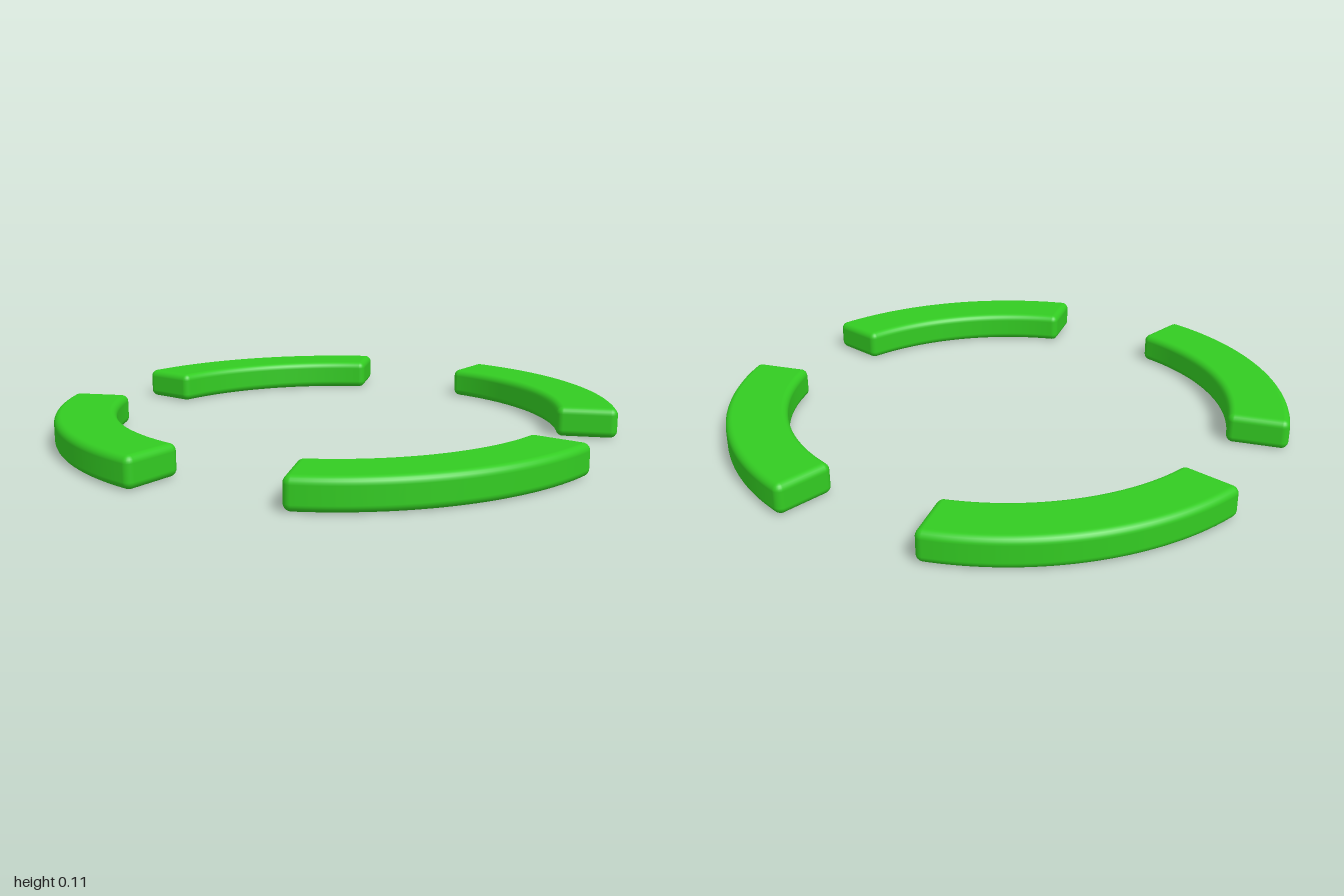
import * as THREE from 'three';

const OUTER = 1, INNER = 0.787, HEIGHT = 0.107, BEVEL = 0.025;
const END_ANGLE = THREE.MathUtils.degToRad(32.3), END_INSET = 0.03;
const ARC = 48, FAN = 6;

// Rounded outline of one arc block: core points (x, z) with outward normal angles
function blockOutline() {
  const points = [];
  const ro = OUTER - BEVEL, ri = INNER + BEVEL;
  const reach = r => END_ANGLE - Math.asin((END_INSET + BEVEL) / r);
  const ao = reach(ro), ai = reach(ri);
  const add = (r, a, n) => points.push({
    x: r * Math.sin(a), z: r * Math.cos(a), nx: Math.sin(n), nz: Math.cos(n),
  });
  const fan = (r, a, from, to, first) => {
    for (let s = 0; s < FAN; s++) add(r, a, from + (to - from) * (s + first) / FAN);
  };
  const endA = END_ANGLE + Math.PI / 2, endB = 1.5 * Math.PI - END_ANGLE;
  for (let k = 0; k <= ARC; k++) {
    const a = -ao + 2 * ao * k / ARC;
    add(ro, a, a);
  }
  fan(ro, ao, ao, endA, 1);
  fan(ri, ai, endA, ai + Math.PI, 0);
  for (let k = 0; k <= ARC; k++) {
    const a = ai - 2 * ai * k / ARC;
    add(ri, a, a + Math.PI);
  }
  fan(ri, -ai, Math.PI - ai, endB, 1);
  fan(ro, -ao, endB, 2 * Math.PI - ao, 0);
  return points;
}

// Loft the outline through a rounded vertical profile and close it with two caps
function blockGeometry() {
  const outline = blockOutline(), n = outline.length;
  const rings = [];
  for (let s = 0; s <= FAN; s++) rings.push([BEVEL, -Math.PI / 2 * (1 - s / FAN)]);
  for (let s = 0; s <= FAN; s++) rings.push([HEIGHT - BEVEL, Math.PI / 2 * s / FAN]);

  const pos = [], nor = [], index = [];
  for (const [y, tilt] of rings) {
    const c = Math.cos(tilt), h = Math.sin(tilt);
    for (const p of outline) {
      pos.push(p.x + p.nx * c * BEVEL, y + h * BEVEL, p.z + p.nz * c * BEVEL);
      nor.push(p.nx * c, h, p.nz * c);
    }
  }
  for (let j = 0; j < rings.length - 1; j++) {
    for (let i = 0; i < n; i++) {
      const a = j * n + i, b = j * n + (i + 1) % n;
      index.push(a, b, b + n, a, b + n, a + n);
    }
  }
  // Caps: strips between the outer and inner arcs
  const top = (rings.length - 1) * n, inner = ARC + 1 + 2 * FAN;
  for (let k = 0; k < ARC; k++) {
    const o0 = k, o1 = k + 1, i0 = inner + ARC - k, i1 = i0 - 1;
    index.push(top + o0, top + o1, top + i1, top + o0, top + i1, top + i0);
    index.push(o0, i1, o1, o0, i0, i1);
  }
  const geometry = new THREE.BufferGeometry();
  geometry.setAttribute('position', new THREE.Float32BufferAttribute(pos, 3));
  geometry.setAttribute('normal', new THREE.Float32BufferAttribute(nor, 3));
  geometry.setIndex(index);
  return geometry;
}

export function createModel() {
  const group = new THREE.Group();
  group.name = 'segmentedRing';
  const geometry = blockGeometry();
  const material = new THREE.MeshStandardMaterial({ color: 0x33cc22 });

  // Four equal arc blocks, a quarter turn apart
  ['frontArc', 'leftArc', 'backArc', 'rightArc'].forEach((name, i) => {
    const arc = new THREE.Mesh(geometry, material);
    arc.name = name;
    arc.rotation.y = i * Math.PI / 2;
    group.add(arc);
  });
  return group;
}
